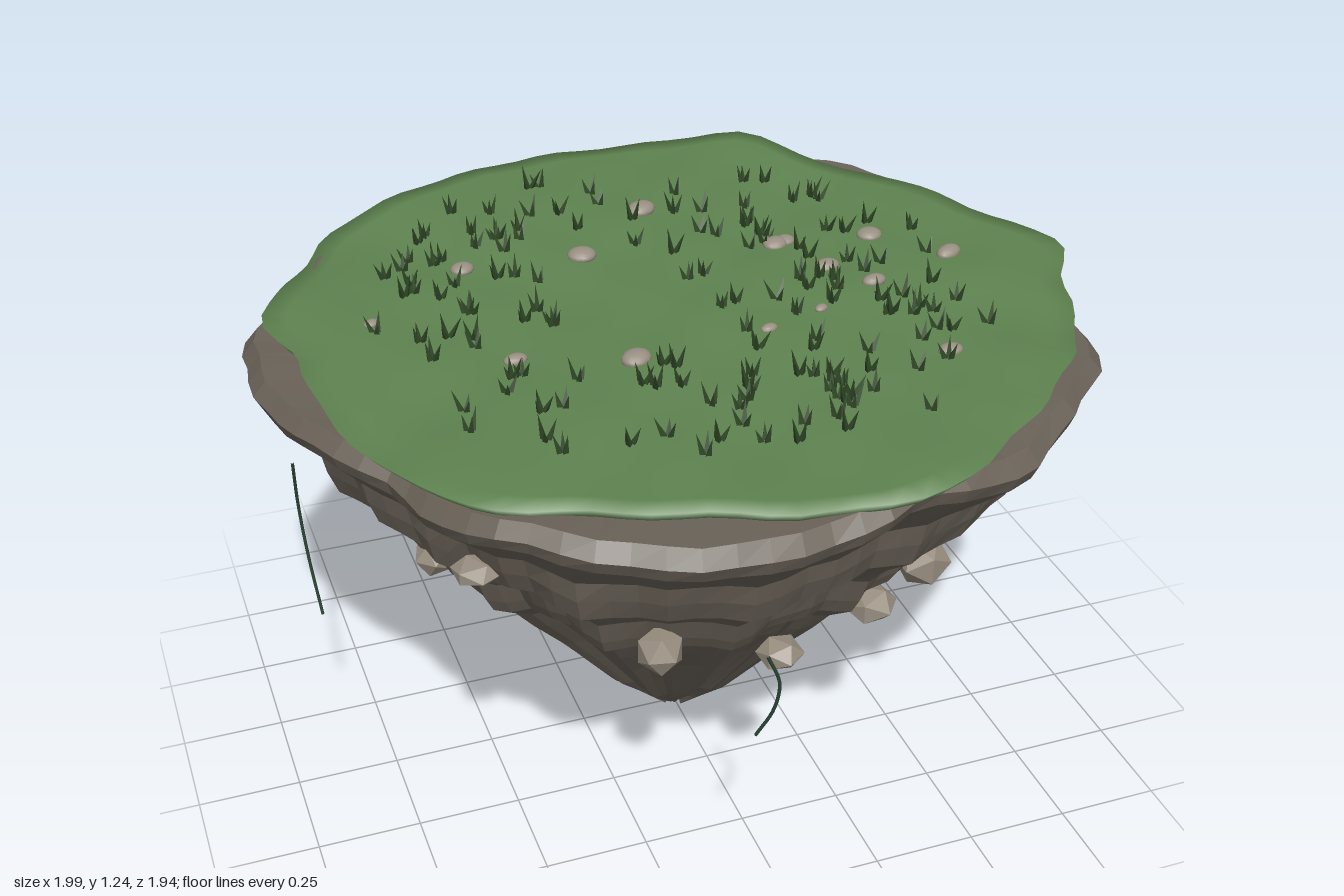
import * as THREE from 'three';

const TAU = Math.PI * 2;

// Outline radii every 15 degrees, starting at +x and turning towards +z
const ROCK_RIM = [.92, .91, .99, .965, .97, .93, .96, 1.0, .985, .97, .90, .95,
  .985, 1.0, .93, .95, .93, .97, .96, .92, .93, 1.01, .985, .93];
const GRASS_RIM = [1.0, .93, .93, .92, .93, .985, .93, .89, .90, .96, .92, .895,
  .88, .95, .92, .95, .92, .92, .935, .97, .985, .90, .92, .92];

// Rock profile from tip to rim and in under the turf: [height, radius, waviness]
const PROFILE = [[.02, .03, .018], [.09, .11, .01], [.17, .195, .01], [.30, .30, .012],
  [.43, .405, .015], [.54, .50, .02], [.61, .555, .025], [.66, .625, .028], [.70, .648, .028],
  [.765, .675, .028], [.82, .73, .025], [.87, .80, .025], [.93, .825, .022], [.985, .84, .02],
  [1.03, .885, .022], [1.085, .94, .022], [1.12, .955, .02], [1.155, .925, .014],
  [1.145, .78, .005], [1.14, 0, 0]];

function seeded(seed) {
  return () => {
    seed = (seed * 1664525 + 1013904223) % 4294967296;
    return seed / 4294967296;
  };
}

function outline(table, a) {
  const t = ((a / TAU) % 1) * table.length;
  const i = Math.floor(t), f = t - i;
  const s = f * f * (3 - 2 * f);
  return table[i % table.length] * (1 - s) + table[(i + 1) % table.length] * s;
}

// Closed rings stacked upwards (or inwards), point(row, angle) -> [x, y, z]
function rings(rows, cols, point) {
  const pos = [], index = [];
  for (let j = 0; j < rows; j++) {
    for (let i = 0; i < cols; i++) {
      pos.push(...point(j, (i / cols) * TAU));
      if (j === rows - 1) continue;
      const a = j * cols + i, b = j * cols + (i + 1) % cols;
      index.push(a, a + cols, b, b, a + cols, b + cols);
    }
  }
  const geo = new THREE.BufferGeometry();
  geo.setAttribute('position', new THREE.Float32BufferAttribute(pos, 3));
  geo.setIndex(index);
  geo.computeVertexNormals();
  return geo;
}

function grassHeight(r, a) {
  const x = r * Math.cos(a), z = r * Math.sin(a);
  return 1.18 + .007 * Math.sin(5 * x + 2 * z) * Math.cos(6 * z - x)
    + r * r * (.009 * Math.sin(6 * a + 1) + .006 * Math.sin(11 * a))
    + .004 * Math.sin(19 * x + 4 * z) * Math.sin(17 * z);
}

function add(parent, name, geometry, material) {
  const mesh = new THREE.Mesh(geometry, material);
  mesh.name = name;
  parent.add(mesh);
  return mesh;
}

export function createModel() {
  const model = new THREE.Group();
  model.name = 'floatingIsland';
  const rand = seeded(11);
  const mat = (color, options = {}) => new THREE.MeshStandardMaterial({ color, ...options });
  const rockMat = mat(0x6b6359, { flatShading: true, side: THREE.DoubleSide });
  const grassMat = mat(0x5f8350, { side: THREE.DoubleSide });
  const bladeMat = mat(0x2f4726, { flatShading: true, side: THREE.DoubleSide });
  const stoneMat = mat(0x978d7f, { flatShading: true });
  const pebbleMat = mat(0x9a9083);
  const vineMat = mat(0x2c4536);

  // Layered rock cone with vertical ridges, closed under the turf
  add(model, 'rockBody', rings(PROFILE.length, 88, (j, a) => {
    const [h, r, wave] = PROFILE[j];
    const t = Math.min(1, h / 1.1);
    const rim = 1 + (outline(ROCK_RIM, a) / .955 - 1) * (.4 + .6 * t * t);
    const fade = 1 - t ** 4;
    const ridge = fade * (.025 * Math.sin(9 * a + 1) + .022 * Math.sin(14 * a + 2.5)
      + .022 * Math.sin(27 * a)) + (1 - fade) * .006 * Math.sin(29 * a + 9 * h);
    const radius = r * (rim + ridge);
    const y = h + wave * (.6 * Math.sin(8 * a + 1 + 2 * h) + .4 * Math.sin(13 * a + 3 * h));
    return [radius * Math.cos(a), y, radius * Math.sin(a)];
  }), rockMat);

  // Uneven turf with a short turned-down edge
  const turfRows = 18;
  add(model, 'turf', rings(turfRows + 1, 96, (j, a) => {
    const k = j === 0 ? .975 : 1 - (j - 1) / (turfRows - 1);
    const r = k * (outline(GRASS_RIM, a) + .005 * Math.sin(23 * a));
    const y = grassHeight(r, a) - (j === 0 ? .028 : 0);
    return [r * Math.cos(a), y, r * Math.sin(a)];
  }), grassMat);

  // Grass tufts, each of three leaning blades
  const tufts = new THREE.Group();
  tufts.name = 'grassTufts';
  model.add(tufts);
  const blade = new THREE.ConeGeometry(.009, 1, 3).translate(0, .5, 0);
  for (let i = 0; i < 150; i++) {
    const a = rand() * TAU, r = .08 + .67 * Math.sqrt(rand());
    const tuft = new THREE.Group();
    tuft.name = 'tuft';
    tuft.position.set(r * Math.cos(a), grassHeight(r, a) - .004, r * Math.sin(a));
    tuft.rotation.y = rand() * TAU;
    for (let k = 0; k < 3; k++) {
      const b = add(tuft, 'blade', blade, bladeMat);
      const turn = k * TAU / 3, lean = .15 + .35 * rand();
      b.position.set(.006 * Math.cos(turn), 0, .006 * Math.sin(turn));
      b.rotation.set(lean * Math.sin(turn), 0, -lean * Math.cos(turn));
      b.scale.y = .038 + .024 * rand();
    }
    tufts.add(tuft);
  }

  // Smooth pebbles on the turf: [x, z, radius]
  const pebble = new THREE.SphereGeometry(1, 14, 10);
  [[.09, -.5, .04], [-.13, -.3, .036], [-.42, -.34, .03], [-.69, -.12, .02], [.34, -.21, .033],
    [.37, -.22, .026], [.58, -.18, .033], [.41, -.05, .033], [.72, -.02, .037], [.48, .07, .031],
    [.31, .15, .018], [.16, .2, .022], [-.42, .13, .029], [-.17, .23, .038], [.51, .42, .03],
  ].forEach(([x, z, r]) => {
    const p = add(model, 'pebble', pebble, pebbleMat);
    p.position.set(x, grassHeight(Math.hypot(x, z), Math.atan2(z, x)) + r * .1, z);
    p.scale.set(r, r * .5, r * (.65 + .3 * rand()));
    p.rotation.y = rand() * .6;
  });

  // Faceted stones set in the flanks: [x, y, z, radius, flattening]
  const stone = new THREE.IcosahedronGeometry(1, 0);
  [[.67, .93, .48, .065, .65], [.75, .84, -.02, .08, .4], [.63, .74, -.28, .052, .9],
    [.47, .63, .44, .07, .95], [.3, .6, .52, .066, .7], [.02, .62, .65, .056, .65],
    [-.26, .69, .64, .057, 1], [-.61, .6, -.01, .052, 1], [-.63, .92, .53, .06, .45],
    [.6, .98, -.61, .07, .7], [.3, .65, -.6, .055, .45], [.27, .53, -.48, .072, .8],
    [.4, .45, -.33, .06, .6], [.27, .38, -.38, .06, .85], [-.77, .89, -.35, .065, .8],
  ].forEach(([x, y, z, r, flat]) => {
    const s = add(model, 'flankStone', stone, stoneMat);
    s.position.set(x, y, z);
    s.scale.set(r, r * flat, r);
    s.rotation.y = rand() * TAU;
  });

  // Thin hanging vines: [angle, top, bottom, sideways bow]
  [[Math.PI + .08, .89, .46, .03], [-.1, .83, .57, .03], [1.7, .83, .6, -.03],
    [-1.5, .83, .62, .03]].forEach(([a, top, bottom, bow]) => {
    const points = [0, .33, .67, 1].map((t) => {
      const r = .915 - .028 * t * t;
      const side = bow * Math.sin(t * Math.PI * 1.15);
      return new THREE.Vector3(r * Math.cos(a) - side * Math.sin(a),
        top + (bottom - top) * t, r * Math.sin(a) + side * Math.cos(a));
    });
    add(model, 'vine', new THREE.TubeGeometry(new THREE.CatmullRomCurve3(points), 16, .004, 5), vineMat);
  });

  return model;
}
